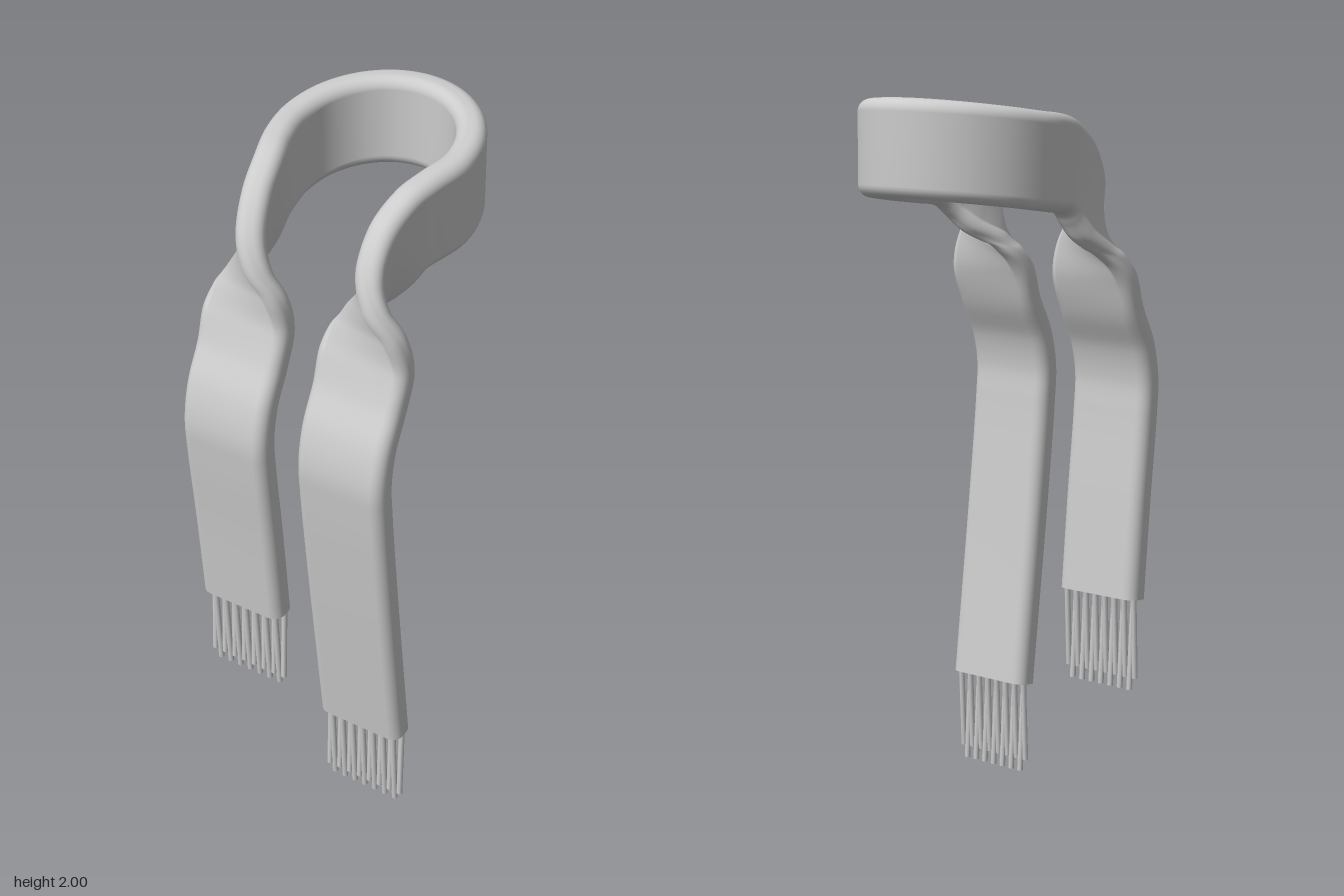
import * as THREE from 'three';

const HALF_T = 0.041; // half thickness of the cloth
const CORNER = 0.033; // rounding of its edges
const V = (x, y, z) => new THREE.Vector3(x, y, z);

// Each station is a pair: upper/front edge and lower/back edge of the band.
function tail(mirror, outer, inner, end, dz, twist) {
  const hang = [[1.5, 0.24], [1.4, 0.275], [1.3, 0.325], [1.2, 0.346], [1.1, 0.341], [0.85, 0.315], [end, 0.245 + dz]];
  return [...twist, ...hang.map(([y, z]) => [V(inner, y, z), V(outer, y, z)])];
}

function bandStations() {
  const rightTwist = [ // band on -x turning from upright to flat
    [V(-0.237, 1.95, 0.02), V(-0.25, 1.69, -0.03)],
    [V(-0.21, 1.93, 0.10), V(-0.24, 1.68, 0.03)],
    [V(-0.185, 1.865, 0.20), V(-0.245, 1.65, 0.055)],
    [V(-0.155, 1.765, 0.27), V(-0.262, 1.61, 0.085)],
    [V(-0.115, 1.68, 0.285), V(-0.285, 1.58, 0.13)],
    [V(-0.068, 1.60, 0.26), V(-0.31, 1.55, 0.19)],
  ];
  const leftTwist = [ // band on +x, turning the same way
    [V(0.223, 1.95, 0.02), V(0.23, 1.69, -0.03)],
    [V(0.205, 1.93, 0.10), V(0.21, 1.68, 0.03)],
    [V(0.19, 1.865, 0.20), V(0.19, 1.65, 0.06)],
    [V(0.205, 1.765, 0.27), V(0.145, 1.61, 0.09)],
    [V(0.25, 1.68, 0.285), V(0.095, 1.58, 0.14)],
    [V(0.30, 1.60, 0.26), V(0.062, 1.55, 0.19)],
  ];
  const right = tail(true, -0.322, -0.052, 0.575, 0.045, rightTwist);
  const left = tail(false, 0.05, 0.32, 0.268, 0, leftTwist);
  // loop around the neck, from -x over the back to +x
  const neck = [];
  for (let deg = -90; deg <= 90; deg += 22.5) {
    const a = THREE.MathUtils.degToRad(deg);
    const x = -0.007 + 0.249 * Math.sin(a), z = -0.09 - 0.263 * Math.cos(a);
    neck.push([V(x, 1.95 - 0.135 * z, z), V(x, 1.685 - 0.14 * z, z)]);
  }
  return [...right.reverse(), ...neck, ...left];
}

// Rounded rectangle, counter-clockwise, for a band of half width w
function section(w) {
  const pts = [];
  for (let c = 0; c < 4; c++) {
    const su = c === 0 || c === 3 ? 1 : -1, sv = c < 2 ? 1 : -1;
    for (let k = 0; k <= 6; k++) {
      const a = (c + k / 6) * Math.PI / 2;
      pts.push([su * (w - CORNER) + CORNER * Math.cos(a), sv * (HALF_T - CORNER) + CORNER * Math.sin(a)]);
    }
  }
  return pts;
}

function bandGeometry() {
  const stations = bandStations();
  const edgeA = new THREE.CatmullRomCurve3(stations.map(s => s[0]));
  const edgeB = new THREE.CatmullRomCurve3(stations.map(s => s[1]));
  const steps = (stations.length - 1) * 8;
  const center = t => edgeA.getPoint(t).add(edgeB.getPoint(t)).multiplyScalar(0.5);
  const pos = [], index = [];
  let n = 0;
  for (let i = 0; i <= steps; i++) {
    const t = i / steps, d = 0.004;
    const c = center(t);
    const T = center(Math.min(1, t + d)).sub(center(Math.max(0, t - d))).normalize();
    const W = edgeA.getPoint(t).sub(edgeB.getPoint(t));
    const half = W.length() / 2;
    W.normalize();
    const N = T.clone().cross(W).normalize();
    const ring = section(half);
    n = ring.length;
    for (const [u, v] of ring) {
      pos.push(...c.clone().addScaledVector(W, u).addScaledVector(N, v).toArray());
    }
  }
  for (let i = 0; i < steps; i++) {
    for (let j = 0; j < n; j++) {
      const a = i * n + j, b = i * n + (j + 1) % n;
      index.push(a, b, a + n, b, b + n, a + n);
    }
  }
  // flat ends with their own vertices
  for (const [row, flip] of [[0, true], [steps, false]]) {
    const base = pos.length / 3;
    pos.push(...pos.slice(row * n * 3, (row + 1) * n * 3));
    for (let j = 1; j < n - 1; j++) {
      index.push(base, base + (flip ? j + 1 : j), base + (flip ? j : j + 1));
    }
  }
  const g = new THREE.BufferGeometry();
  g.setAttribute('position', new THREE.Float32BufferAttribute(pos, 3));
  g.setIndex(index);
  g.computeVertexNormals();
  return g;
}

function strand(material, from, to) {
  const dir = to.clone().sub(from);
  const m = new THREE.Mesh(new THREE.CylinderGeometry(0.0085, 0.0085, dir.length(), 8), material);
  m.position.copy(from).add(to).multiplyScalar(0.5);
  m.quaternion.setFromUnitVectors(V(0, 1, 0), dir.normalize());
  m.name = 'strand';
  return m;
}

// Row of long strands with shorter ones crossing between them
function fringe(name, material, cx, top, z) {
  const g = new THREE.Group();
  g.name = name;
  const pitch = 0.0345, low = top - 0.268;
  for (let i = -3; i <= 3; i++) {
    const x = cx + i * pitch;
    g.add(strand(material, V(x, top + 0.02, z + 0.012), V(x, low, z - 0.005)));
  }
  for (let i = -3.5; i <= 3.5; i++) {
    const x = cx + i * pitch;
    g.add(strand(material, V(x, top + 0.02, z - 0.012), V(x + 0.004, low + 0.034, z + 0.004)));
  }
  return g;
}

export function createModel() {
  const model = new THREE.Group();
  model.name = 'scarf';
  const material = new THREE.MeshStandardMaterial({ color: 0xcccccc });
  const band = new THREE.Mesh(bandGeometry(), material);
  band.name = 'scarfBand';
  model.add(band);
  model.add(fringe('rightFringe', material, -0.186, 0.575, 0.292));
  model.add(fringe('leftFringe', material, 0.182, 0.268, 0.245));
  return model;
}
